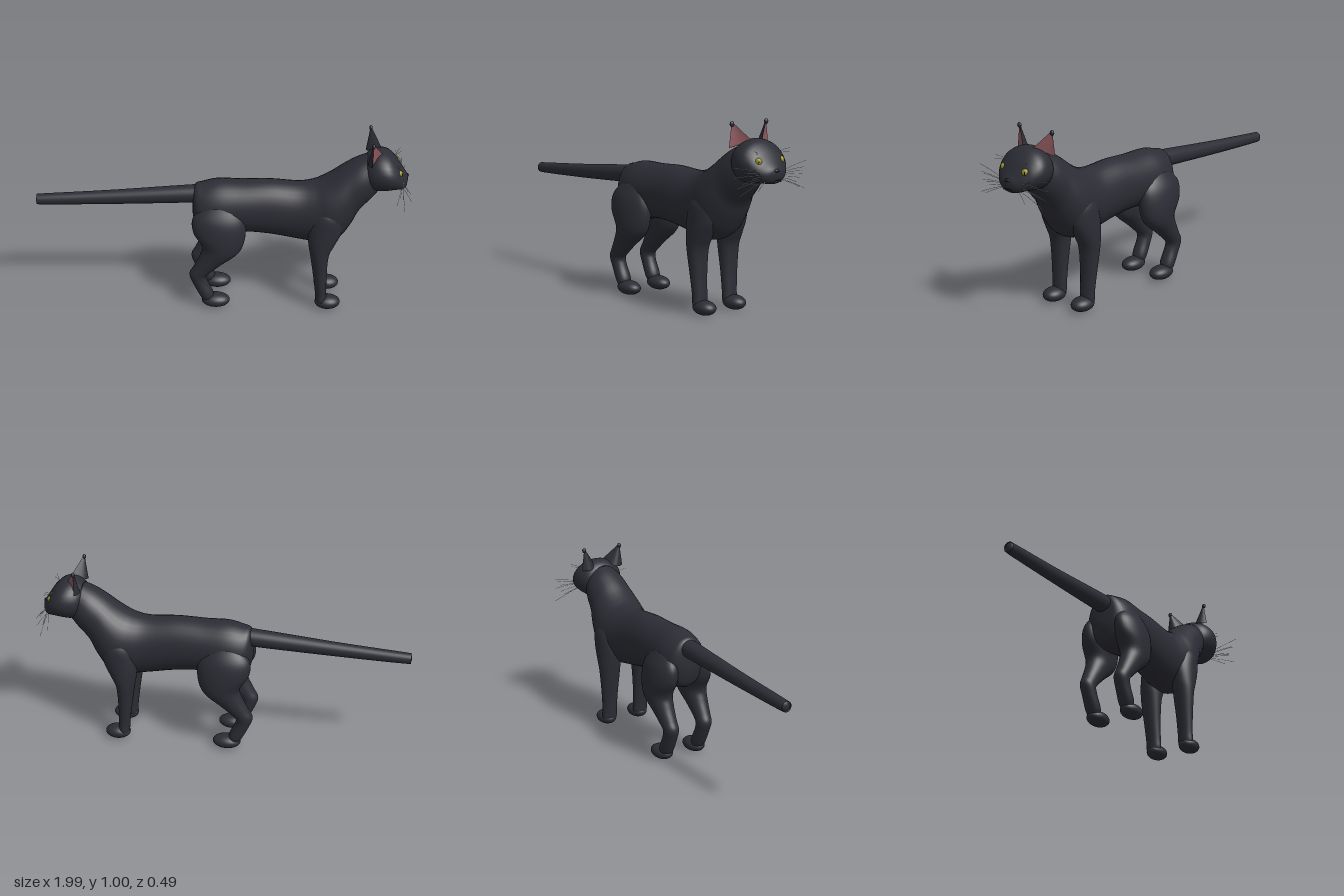
import * as THREE from 'three';

const fur = new THREE.MeshStandardMaterial({ color: 0x2c2d35, side: THREE.DoubleSide });
const innerEar = new THREE.MeshStandardMaterial({ color: 0x8e585e, side: THREE.DoubleSide });
const eyeYellow = new THREE.MeshStandardMaterial({ color: 0x8f8722 });
const darkSkin = new THREE.MeshStandardMaterial({ color: 0x1b1b20 });
const whiskerWhite = new THREE.MeshStandardMaterial({ color: 0xd8d8d4 });

const V = (x, y, z) => new THREE.Vector3(x, y, z);

function mesh(group, name, geometry, material) {
  const m = new THREE.Mesh(geometry, material);
  m.name = name;
  group.add(m);
  return m;
}

function build(positions, index) {
  const g = new THREE.BufferGeometry();
  g.setAttribute('position', new THREE.Float32BufferAttribute(positions, 3));
  g.setIndex(index);
  g.computeVertexNormals();
  return g;
}

// Smooth skin over elliptical sections [x0, y0, x1, y1, halfWidth, zCentre]
function loft(sections, side = 1, sides = 32, perSection = 5) {
  const curve = (f) => new THREE.CatmullRomCurve3(sections.map(f), false, 'catmullrom', 0.5);
  const first = curve((s) => V(s[0], s[1], 0));
  const second = curve((s) => V(s[2], s[3], 0));
  const width = curve((s) => V(s[4], (s[5] || 0) * side, 0));
  const n = (sections.length - 1) * perSection;
  const pos = [], idx = [], ends = [];
  for (let i = 0; i <= n; i++) {
    const p = first.getPoint(i / n), q = second.getPoint(i / n), w = width.getPoint(i / n);
    const c = p.clone().add(q).multiplyScalar(0.5), u = p.sub(c);
    if (i === 0 || i === n) ends.push([c.x, c.y, w.y]);
    for (let j = 0; j < sides; j++) {
      const a = (j / sides) * Math.PI * 2;
      pos.push(c.x + u.x * Math.cos(a), c.y + u.y * Math.cos(a), w.y + w.x * Math.sin(a));
      if (i < n) {
        const k = (j + 1) % sides, r = i * sides, t = r + sides;
        idx.push(r + j, r + k, t + j, r + k, t + k, t + j);
      }
    }
  }
  const base = (n + 1) * sides;
  pos.push(...ends[0], ...ends[1]);
  for (let j = 0; j < sides; j++) {
    const k = (j + 1) % sides;
    idx.push(base, k, j, base + 1, n * sides + j, n * sides + k);
  }
  return build(pos, idx);
}

function ellipsoid(group, name, material, [x, y, z], [rx, ry, rz]) {
  const m = mesh(group, name, new THREE.SphereGeometry(1, 28, 18), material);
  m.position.set(x, y, z);
  m.scale.set(rx, ry, rz);
  return m;
}

// Curved sheet rising from the arc a-b-c towards a tip
function earSheet(a, b, c, tip, top) {
  const arc = new THREE.QuadraticBezierCurve3(a, b, c);
  const pos = [], idx = [], n = 12, rows = 6;
  for (let r = 0; r <= rows; r++) {
    for (let i = 0; i <= n; i++) {
      const p = arc.getPoint(i / n).lerp(tip, (r / rows) * top);
      pos.push(p.x, p.y, p.z);
      if (r < rows && i < n) {
        const k = r * (n + 1) + i;
        idx.push(k, k + 1, k + n + 1, k + 1, k + n + 2, k + n + 1);
      }
    }
  }
  return build(pos, idx);
}

function whisker(group, name, from, to, sag) {
  const mid = from.clone().lerp(to, 0.5);
  mid.y += sag;
  const curve = new THREE.QuadraticBezierCurve3(from, mid, to);
  mesh(group, name, new THREE.TubeGeometry(curve, 8, 0.0011, 5), whiskerWhite);
}

export function createModel() {
  const cat = new THREE.Group();
  cat.name = 'cat';

  // Torso and neck: back point, belly point, half width
  mesh(cat, 'body', loft([
    [-0.158, 0.63, -0.16, 0.53, 0.03], [-0.145, 0.69, -0.15, 0.48, 0.08],
    [-0.1, 0.705, -0.12, 0.42, 0.115], [-0.02, 0.722, -0.03, 0.40, 0.13],
    [0.1, 0.72, 0.1, 0.425, 0.125], [0.25, 0.725, 0.25, 0.415, 0.12],
    [0.4, 0.715, 0.42, 0.385, 0.126], [0.48, 0.725, 0.54, 0.37, 0.145],
    [0.53, 0.745, 0.63, 0.405, 0.157], [0.58, 0.775, 0.69, 0.49, 0.148],
    [0.64, 0.82, 0.73, 0.57, 0.13], [0.7, 0.858, 0.79, 0.64, 0.118],
    [0.76, 0.885, 0.83, 0.69, 0.1]]), fur);

  mesh(cat, 'tail', loft([
    [-1, 0.60, -1, 0.58, 0.008], [-0.99, 0.616, -0.99, 0.565, 0.024],
    [-0.96, 0.62, -0.96, 0.56, 0.03], [-0.6, 0.647, -0.6, 0.57, 0.037],
    [-0.15, 0.687, -0.15, 0.59, 0.05], [-0.05, 0.69, -0.05, 0.6, 0.045]]), fur);

  // Head, tapering to the muzzle
  const head = new THREE.Group();
  head.name = 'head';
  cat.add(head);
  mesh(head, 'skull', loft([
    [0.735, 0.83, 0.75, 0.74, 0.06], [0.76, 0.885, 0.78, 0.70, 0.11],
    [0.81, 0.912, 0.82, 0.69, 0.135], [0.865, 0.905, 0.865, 0.695, 0.141],
    [0.91, 0.868, 0.905, 0.70, 0.125], [0.94, 0.825, 0.935, 0.70, 0.1],
    [0.958, 0.797, 0.956, 0.703, 0.074], [0.973, 0.775, 0.968, 0.715, 0.045],
    [0.978, 0.755, 0.976, 0.735, 0.012]]), fur);
  ellipsoid(head, 'nose', darkSkin, [0.971, 0.768, 0], [0.011, 0.009, 0.017]);
  const lips = new THREE.QuadraticBezierCurve3(V(0.96, 0.713, -0.04), V(0.982, 0.735, 0), V(0.96, 0.713, 0.04));
  mesh(head, 'mouth', new THREE.TubeGeometry(lips, 12, 0.004, 6), darkSkin);

  const whiskerEnds = [
    [0.93, 0.795, 0.245], [0.96, 0.77, 0.2], [0.92, 0.745, 0.23], [0.98, 0.74, 0.17],
    [0.94, 0.715, 0.19], [0.91, 0.69, 0.2], [0.95, 0.66, 0.22], [0.99, 0.68, 0.14]];

  for (const s of [1, -1]) {
    const label = s > 0 ? 'near' : 'far';

    // Eyes with slit pupils
    const eye = ellipsoid(head, label + 'Eye', eyeYellow, [0.926, 0.811, 0.078 * s], [0.014, 0.02, 0.018]);
    eye.rotation.y = -0.65 * s;
    const pupil = ellipsoid(head, label + 'Pupil', darkSkin, [0.9345, 0.811, 0.0835 * s], [0.0045, 0.011, 0.004]);
    pupil.rotation.y = -0.65 * s;

    // Ears: dark shell, cupped pink lining and dark tip
    const outer = V(0.778, 0.87, 0.132 * s), inner = V(0.835, 0.905, 0.035 * s), tip = V(0.778, 0.997, 0.115 * s);
    mesh(head, label + 'EarShell', earSheet(outer, V(0.715, 0.86, 0.06 * s), inner, tip, 0.96), fur);
    mesh(head, label + 'EarLining', earSheet(outer, V(0.785, 0.88, 0.078 * s), inner, tip, 0.9), innerEar);
    ellipsoid(head, label + 'EarTip', fur, [0.779, 0.985, 0.115 * s], [0.009, 0.014, 0.012]);

    // Whiskers and brow hairs
    whiskerEnds.forEach(([x, y, z], i) =>
      whisker(head, label + 'Whisker', V(0.948, 0.755 - 0.005 * i, 0.045 * s), V(x, y, z * s), 0.008));
    whisker(head, label + 'Brow', V(0.905, 0.845, 0.06 * s), V(0.94, 0.868, 0.12 * s), 0.006);
    whisker(head, label + 'Brow', V(0.905, 0.845, 0.065 * s), V(0.95, 0.85, 0.115 * s), 0.006);

    // Front leg from shoulder to ankle: front point, back point, half width, z
    mesh(cat, label + 'FrontLeg', loft([
      [0.61, 0.63, 0.51, 0.63, 0.035, 0.09], [0.645, 0.57, 0.48, 0.57, 0.066, 0.095],
      [0.64, 0.48, 0.46, 0.48, 0.067, 0.1], [0.605, 0.4, 0.463, 0.4, 0.065, 0.103],
      [0.575, 0.33, 0.475, 0.33, 0.06, 0.105], [0.568, 0.2, 0.495, 0.2, 0.049, 0.104],
      [0.57, 0.1, 0.508, 0.1, 0.044, 0.102], [0.57, 0.05, 0.513, 0.045, 0.043, 0.102],
      [0.56, 0.02, 0.525, 0.02, 0.02, 0.102]], s), fur);
    ellipsoid(cat, label + 'FrontPaw', fur, [0.577, 0.038, 0.103 * s], [0.069, 0.038, 0.053]);

    // Hind leg from thigh through hock to ankle
    mesh(cat, label + 'HindLeg', loft([
      [0.06, 0.62, -0.1, 0.61, 0.035, 0.085], [0.12, 0.53, -0.155, 0.54, 0.066, 0.098],
      [0.125, 0.43, -0.152, 0.46, 0.075, 0.105], [0.093, 0.345, -0.105, 0.378, 0.07, 0.108],
      [0.005, 0.272, -0.118, 0.32, 0.056, 0.108], [-0.05, 0.225, -0.152, 0.25, 0.046, 0.107],
      [-0.083, 0.19, -0.175, 0.2, 0.042, 0.105], [-0.075, 0.15, -0.155, 0.14, 0.04, 0.103],
      [-0.045, 0.08, -0.115, 0.06, 0.041, 0.102], [-0.05, 0.025, -0.09, 0.025, 0.02, 0.102]], s), fur);
    ellipsoid(cat, label + 'HindPaw', fur, [-0.033, 0.038, 0.103 * s], [0.077, 0.038, 0.053]);
  }
  return cat;
}
